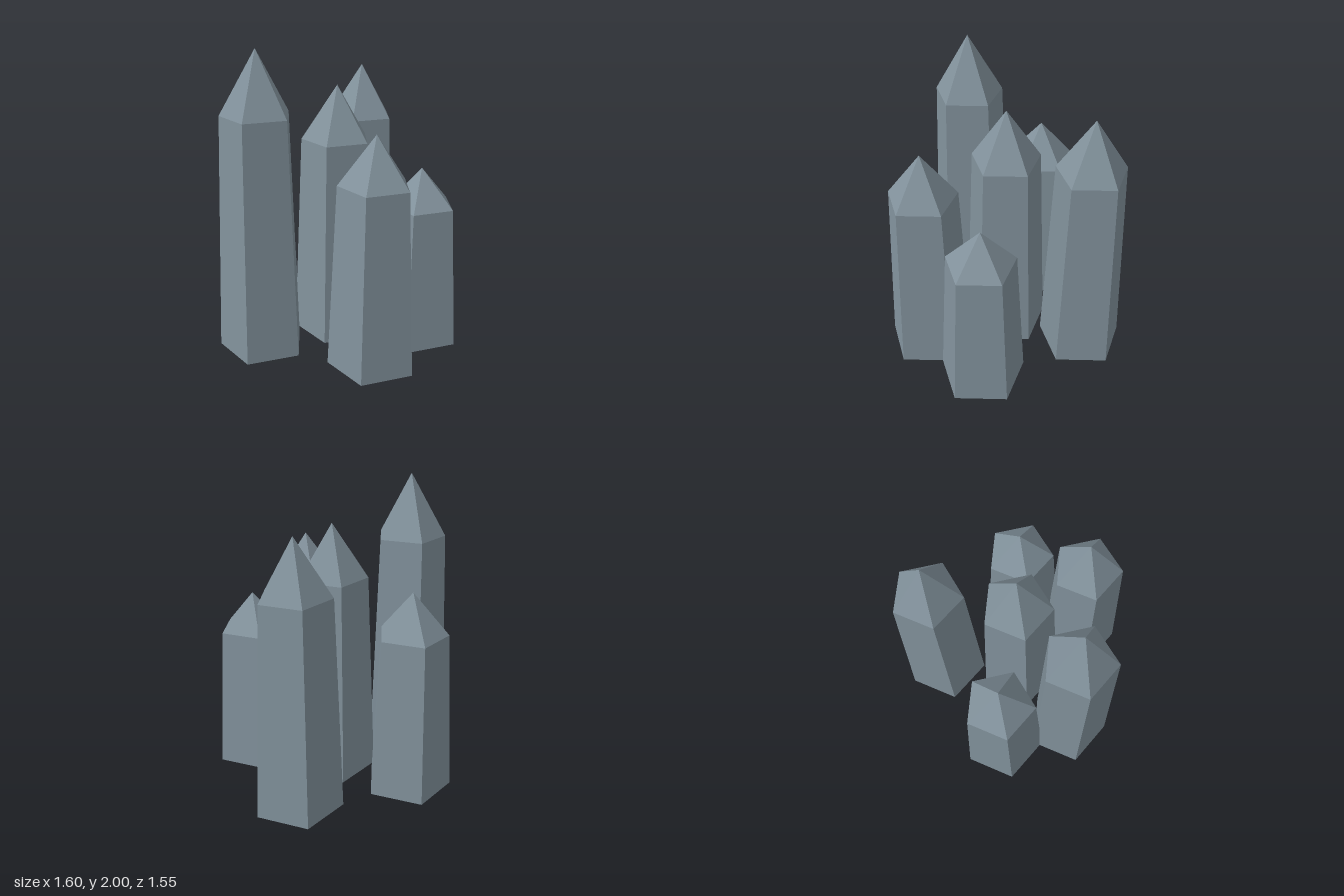
import * as THREE from 'three';

const BASE_RADIUS = 0.294;
const SHOULDER_RADIUS = 0.236;
const SHOULDER_RATIO = 0.793; // shoulder height as a share of full height

// x, z, height of each crystal
const CRYSTALS = [
  [-0.52, 0.064, 2.0],
  [0.04, -0.032, 1.726],
  [0.386, -0.483, 1.772],
  [0.086, 0.535, 1.53],
  [0.518, 0.274, 1.206],
  [-0.38, -0.416, 1.35],
];

// Closed five-sided tapering shaft with a pointed tip, one edge facing the back
function crystalGeometry(height) {
  const profile = [
    new THREE.Vector2(0, 0),
    new THREE.Vector2(BASE_RADIUS, 0),
    new THREE.Vector2(SHOULDER_RADIUS, height * SHOULDER_RATIO),
    new THREE.Vector2(0, height),
  ];
  const geometry = new THREE.LatheGeometry(profile, 5, Math.PI).toNonIndexed();
  geometry.computeVertexNormals(); // faceted
  return geometry;
}

export function createModel() {
  const group = new THREE.Group();
  group.name = 'crystalCluster';

  const stone = new THREE.MeshStandardMaterial({ color: 0x82929c });
  stone.name = 'blue grey crystal';

  CRYSTALS.forEach(([x, z, height], i) => {
    const crystal = new THREE.Mesh(crystalGeometry(height), stone);
    crystal.name = `crystal${i + 1}`;
    crystal.position.set(x, 0, z);
    group.add(crystal);
  });

  return group;
}
